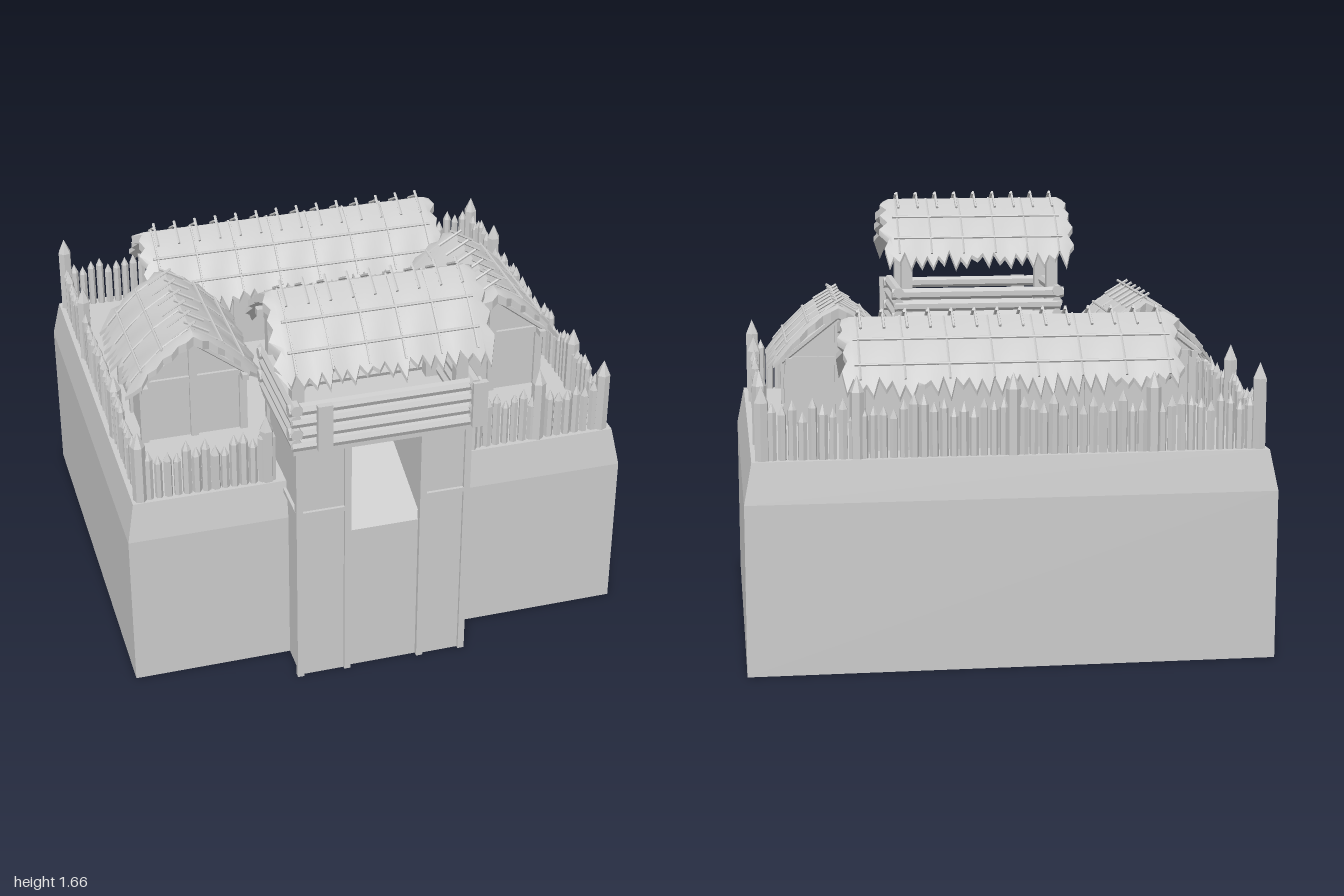
import * as THREE from 'three';
import { toCreasedNormals } from 'three/addons/utils/BufferGeometryUtils.js';

const flat = new THREE.MeshStandardMaterial({ color: 0xcccccc, flatShading: true, side: THREE.DoubleSide });
const smooth = new THREE.MeshStandardMaterial({ color: 0xcccccc, side: THREE.DoubleSide });

let seed = 7;
const rnd = (a = 0, b = 1) => {
  seed = (seed * 16807) % 2147483647;
  return a + (b - a) * seed / 2147483647;
};

function add(parent, name, geometry, x = 0, y = 0, z = 0, material = flat) {
  const mesh = new THREE.Mesh(geometry, material);
  mesh.name = name;
  mesh.position.set(x, y, z);
  parent.add(mesh);
  return mesh;
}
const box = (p, name, w, h, d, x, y, z) => add(p, name, new THREE.BoxGeometry(w, h, d), x, y, z);

// Box without its bottom face
function openBox(w, h, d) {
  const g = new THREE.BoxGeometry(w, h, d);
  const index = Array.from(g.index.array);
  index.splice(18, 6);
  g.setIndex(index);
  g.clearGroups();
  return g;
}

// Round pole between two points
function pole(p, name, a, b, r, sides = 6) {
  const from = new THREE.Vector3(...a), to = new THREE.Vector3(...b);
  const dir = to.clone().sub(from);
  const m = add(p, name, new THREE.CylinderGeometry(r, r, dir.length(), sides));
  m.position.copy(from).add(to).multiplyScalar(0.5);
  m.quaternion.setFromUnitVectors(new THREE.Vector3(0, 1, 0), dir.normalize());
}

// Surface through a list of quads given by their corners
function quads(list) {
  const pos = [];
  for (const [a, b, c, d] of list) pos.push(...a, ...b, ...c, ...a, ...c, ...d);
  const g = new THREE.BufferGeometry();
  g.setAttribute('position', new THREE.Float32BufferAttribute(pos, 3));
  g.computeVertexNormals();
  return g;
}

// Height of the thatch below the ridge at a distance across it
const sag = (s) => -0.42 * s - 1.7 * s * s;

// Closed thatch shell with ragged eaves and gable ends, ridge along x
function thatch(len, half) {
  const nu = Math.round(len / 0.024), nv = 16, pos = [], idx = [];
  const eave = [0, 1].map(() => Array.from({ length: nu + 1 }, (_, i) => (i % 2 ? rnd(0.015, 0.045) : rnd(-0.012, 0.008))));
  const verge = [0, 1].map(() => Array.from({ length: nv + 1 }, (_, j) => (j % 2 ? rnd(0.008, 0.03) : rnd(-0.012, 0.005))));
  for (let layer = 0; layer < 2; layer++) {
    for (let i = 0; i <= nu; i++) for (let j = 0; j <= nv; j++) {
      const u = i / nu * 2 - 1, v = j / nv * 2 - 1, k = Math.abs(v);
      let x = u * len / 2;
      if (i === 0) x -= verge[0][j];
      if (i === nu) x += verge[1][j];
      let s = k * half;
      if (k === 1) s += eave[v < 0 ? 0 : 1][i];
      const ripple = 0.006 * Math.sin(x * 37 + v * 4) * k;
      const y = sag(s) + ripple - (layer ? 0.04 - 0.022 * k : 0) - (i % nu ? 0 : 0.01);
      pos.push(x, y, Math.sign(v) * s);
    }
  }
  const row = nv + 1, size = (nu + 1) * row;
  const quad = (a, b, c, d) => idx.push(a, b, c, a, c, d);
  for (let i = 0; i < nu; i++) for (let j = 0; j < nv; j++) {
    const a = i * row + j;
    quad(a, a + 1, a + row + 1, a + row);
    quad(size + a, size + a + row, size + a + row + 1, size + a + 1);
  }
  for (let i = 0; i < nu; i++) for (const j of [0, nv]) {
    const a = i * row + j;
    j ? quad(a, size + a, size + a + row, a + row) : quad(a, a + row, size + a + row, size + a);
  }
  for (let j = 0; j < nv; j++) for (const i of [0, nu]) {
    const a = i * row + j;
    i ? quad(a, a + 1, size + a + 1, size + a) : quad(a, size + a, size + a + 1, a + 1);
  }
  const g = new THREE.BufferGeometry();
  g.setAttribute('position', new THREE.Float32BufferAttribute(pos, 3));
  g.setIndex(idx);
  return toCreasedNormals(g, 0.7);
}

// Thatched roof with battens, rods and crossed ridge sticks
function roof(len, half) {
  const g = new THREE.Group();
  g.name = 'thatchedRoof';
  add(g, 'thatch', thatch(len, half), 0, 0, 0, smooth);
  const on = (x, s, lift = 0.006) => [x, sag(Math.abs(s)) + lift, s];
  const rods = Math.round(len / 0.17), ridge = Math.round(len / 0.088);
  for (const side of [-1, 1]) {
    for (const s of [0.12, 0.205]) pole(g, 'batten', on(-len / 2 + 0.03, side * s), on(len / 2 - 0.03, side * s), 0.006);
    for (let i = 0; i <= rods; i++) {
      const x = (i / rods - 0.5) * (len - 0.1);
      const stops = [0.01, 0.12, 0.2, half];
      for (let k = 0; k < 3; k++) pole(g, 'roofRod', on(x, side * stops[k], 0.003), on(x, side * stops[k + 1], 0.003), 0.005, 5);
    }
    for (let i = 0; i < ridge; i++) {
      const x = ((i + 0.5) / ridge - 0.5) * (len - 0.03) + side * 0.004;
      pole(g, 'ridgeStick', on(x, side * 0.075, 0.008), [x, 0.024, -side * 0.022], 0.006, 5);
    }
  }
  return g;
}

// Extruded gable outline, ridge along x
function gable(points, len) {
  const geo = new THREE.ExtrudeGeometry(new THREE.Shape(points.map((p) => new THREE.Vector2(...p))), { depth: len, bevelEnabled: false });
  return geo.translate(0, 0, -len / 2).rotateY(Math.PI / 2);
}

function hut(name, roofLen, bodyLen) {
  const g = new THREE.Group();
  g.name = name;
  const w = 0.2, e = bodyLen / 2;
  add(g, 'walls', gable([[-w, 0], [w, 0], [w, 0.275], [0, 0.435], [-w, 0.275]], bodyLen));
  for (const sx of [-1, 1]) {
    for (const z of [-w, 0, w]) box(g, 'wallPost', 0.03, z ? 0.27 : 0.43, 0.03, sx * e, z ? 0.135 : 0.215, z);
    box(g, 'tieBeam', 0.025, 0.025, 2 * w + 0.04, sx * e, 0.26, 0);
    for (const s of [-1, 1]) pole(g, 'rafter', [sx * (e + 0.03), 0.44, 0], [sx * (e + 0.03), 0.26, s * 0.23], 0.013);
  }
  for (const sz of [-1, 1]) {
    box(g, 'eaveBeam', bodyLen + 0.12, 0.025, 0.025, 0, 0.26, sz * w);
    const n = Math.round(bodyLen / 0.25);
    for (let i = 1; i < n; i++) box(g, 'wallPost', 0.025, 0.26, 0.025, (i / n - 0.5) * bodyLen, 0.13, sz * w);
  }
  box(g, 'door', 0.11, 0.2, 0.02, 0, 0.1, w + 0.01);
  const r = roof(roofLen, 0.245);
  r.position.y = 0.48;
  g.add(r);
  return g;
}

// Pointed stake
function stake(p, x, z, r, bottom, top) {
  const tip = r * 2.2;
  const pts = [[0, bottom], [r, bottom], [r, top - tip], [0, top]].map((q) => new THREE.Vector2(...q));
  add(p, 'stake', new THREE.LatheGeometry(pts, 6, rnd(0, 1)), x, 0, z);
}

export function createModel() {
  const model = new THREE.Group();
  model.name = 'hillFort';
  const G = 0.805, gx0 = -0.175, gx1 = 0.125, notch = 0.45;

  // Hollow mound with a notch for the gateway
  const rings = [[1, 0, 0.72, -0.965], [1, 0.65, 0.72, -0.965], [0.97, G, 0.695, -0.94]];
  const faces = [];
  for (let i = 0; i < 2; i++) {
    const [x, y, f, b] = rings[i], [X, Y, F, B] = rings[i + 1];
    faces.push([[x, y, f], [x, y, b], [X, Y, B], [X, Y, F]], [[-x, y, b], [-x, y, f], [-X, Y, F], [-X, Y, B]]);
    faces.push([[x, y, b], [-x, y, b], [-X, Y, B], [X, Y, B]]);
    faces.push([[-x, y, f], [gx0, y, f], [gx0, Y, F], [-X, Y, F]], [[gx1, y, f], [x, y, f], [X, Y, F], [gx1, Y, F]]);
  }
  const ground = (x0, x1, z0, z1) => faces.push([[x0, G, z1], [x1, G, z1], [x1, G, z0], [x0, G, z0]]);
  ground(-0.97, 0.97, -0.94, notch);
  ground(-0.97, gx0, notch, 0.695);
  ground(gx1, 0.97, notch, 0.695);
  add(model, 'mound', quads(faces));

  // Gate ramp
  add(model, 'gateRamp', quads([
    [[gx0, 0, 0.87], [gx1, 0, 0.87], [gx1, 0.65, 0.87], [gx0, 0.65, 0.87]],
    [[gx0, 0.65, 0.87], [gx1, 0.65, 0.87], [gx1, G, notch], [gx0, G, notch]],
  ]));

  // Gate tower
  const tower = new THREE.Group();
  tower.name = 'gateTower';
  model.add(tower);
  for (const [a, b] of [[-0.372, -0.182], [0.118, 0.293]]) {
    add(tower, 'gatePillar', openBox(b - a, 1.05, 0.43), (a + b) / 2, 0.525, 0.662);
    for (const x of [a, b]) for (const z of [0.447, 0.877]) box(tower, 'cornerPost', 0.026, 1.05, 0.026, x, 0.525, z);
    box(tower, 'crossBeam', b - a, 0.018, 0.014, (a + b) / 2, 0.768, 0.882);
  }
  for (const x of [-0.38, 0.3]) box(tower, 'sideBeam', 0.012, 0.018, 0.43, x, 0.768, 0.662);
  box(tower, 'platform', 0.71, 0.025, 0.46, -0.04, 1.055, 0.662);
  for (let i = 0; i < 4; i++) {
    const y = 1.085 + i * 0.051, o = i % 2 ? 0.008 : -0.004;
    for (const z of [0.45, 0.885]) pole(tower, 'railLog', [-0.405 - o, y, z], [0.325 + o, y, z], 0.024, 7);
    for (const x of [-0.385, 0.305]) pole(tower, 'railLog', [x, y + 0.008, 0.43 - o], [x, y + 0.008, 0.905 + o], 0.024, 7);
  }
  for (const x of [-0.28, 0.32]) box(tower, 'railUpright', 0.058, 0.19, 0.025, x, 1.165, 0.915);
  for (const z of [0.5, 0.845]) {
    for (const x of [-0.368, 0.265]) box(tower, 'roofPost', 0.048, 0.4, 0.046, x, 1.25, z);
    box(tower, 'plateBeam', 0.76, 0.03, 0.03, -0.05, 1.45, z);
  }
  for (const x of [-0.39, 0.29]) {
    add(tower, 'gablePanel', gable([[-0.2, 0], [0.2, 0], [0, 0.165]], 0.03), x, 1.43, 0.675);
  }
  const towerRoof = roof(0.79, 0.255);
  towerRoof.position.set(-0.045, 1.63, 0.675);
  tower.add(towerRoof);

  // Huts
  const place = (h, x, z, turn) => {
    h.position.set(x, G, z);
    h.rotation.y = turn;
    model.add(h);
  };
  place(hut('longHouse', 1.27, 1.1), -0.025, -0.58, 0);
  place(hut('rightHut', 0.57, 0.47), -0.635, 0.035, Math.PI / 2);
  place(hut('leftHut', 0.57, 0.47), 0.605, 0.035, -Math.PI / 2);

  // Palisade: runs of small stakes with taller posts between
  const fence = new THREE.Group();
  fence.name = 'palisade';
  model.add(fence);
  const run = (x0, z0, x1, z1) => {
    const n = Math.round(Math.hypot(x1 - x0, z1 - z0) / 0.037);
    for (let i = 0; i <= n; i++) {
      const t = i / n;
      stake(fence, x0 + (x1 - x0) * t, z0 + (z1 - z0) * t, rnd(0.015, 0.019), 0.76, rnd(0.985, 1.045));
    }
  };
  const L = -0.935, R = 0.93, F = 0.665, B = -0.905;
  run(L, F, -0.42, F);
  run(0.34, F, R, F);
  run(L, B, R, B);
  run(L, B, L, F);
  run(R, B, R, F);
  const tall = [[L, F], [-0.44, F], [0.385, F], [0.66, F], [R, F], [R, 0.35], [R, -0.6], [R, B],
    [0.58, B], [0, B], [-0.53, B], [L, B], [L, -0.45], [L, 0.2]];
  for (const [x, z] of tall) stake(fence, x, z, 0.028, 0.73, rnd(1.08, 1.135));
  return model;
}
